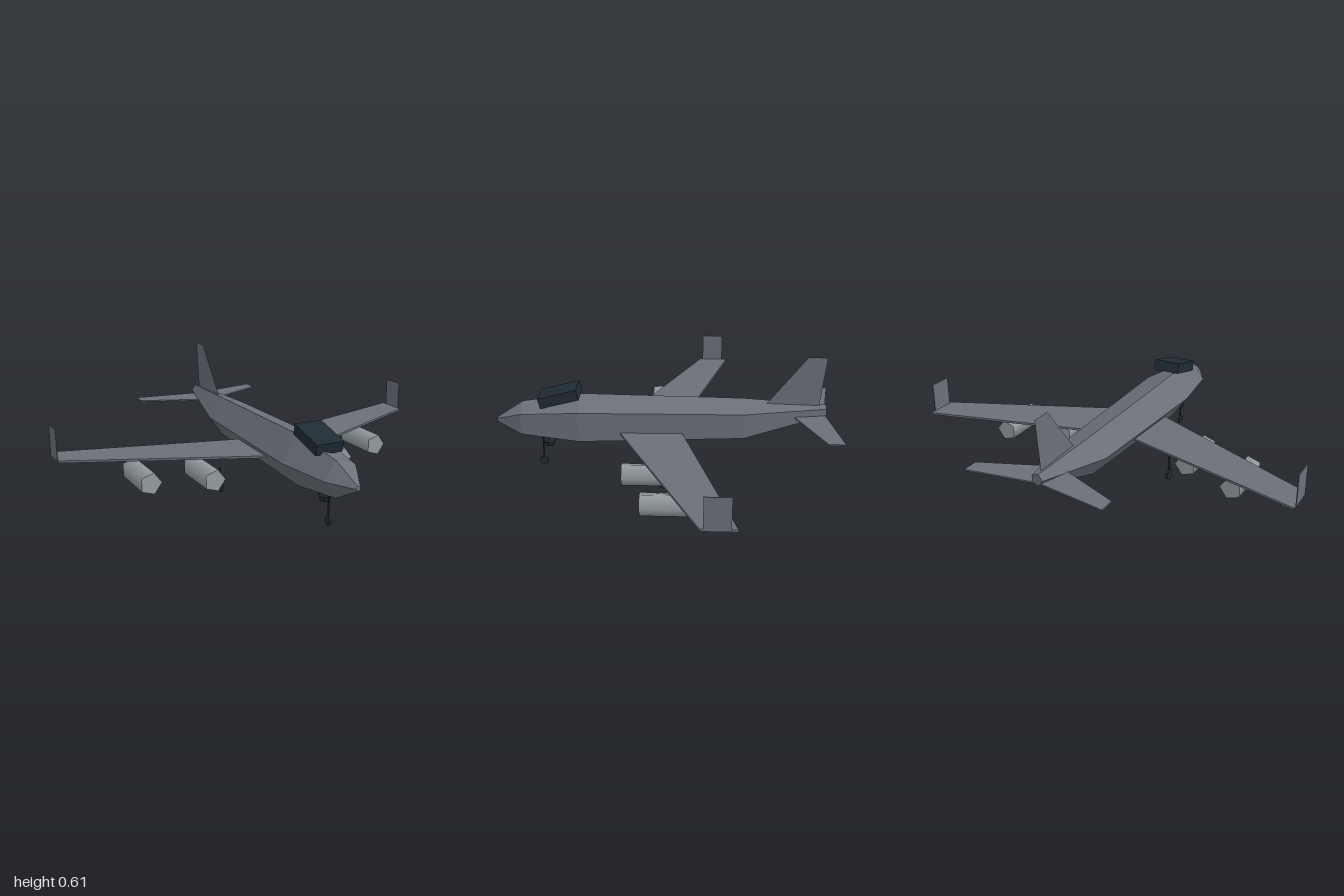
import * as THREE from 'three';

const hull = new THREE.MeshStandardMaterial({ name: 'hullGrey', color: 0x6b7079, flatShading: true, side: THREE.DoubleSide });
const metal = new THREE.MeshStandardMaterial({ name: 'engineGrey', color: 0x949ca0 });
const dark = new THREE.MeshStandardMaterial({ name: 'darkSlate', color: 0x1f2c34, flatShading: true });

// Five-sided tube through stations [z, centre height, radius], one edge pointing to -x
function hullGeometry(stations, sides = 5) {
  const pos = [], idx = [];
  for (const [z, cy, r] of stations)
    for (let k = 0; k < sides; k++) {
      const a = Math.PI + (k / sides) * Math.PI * 2;
      pos.push(r * Math.cos(a), cy + r * Math.sin(a), z);
    }
  for (let s = 0; s < stations.length - 1; s++)
    for (let k = 0; k < sides; k++) {
      const a = s * sides + k, b = s * sides + (k + 1) % sides;
      idx.push(a, b + sides, b, a, a + sides, b + sides);
    }
  const last = (stations.length - 1) * sides;
  for (let k = 1; k < sides - 1; k++) idx.push(0, k, k + 1, last, last + k + 1, last + k);
  const g = new THREE.BufferGeometry();
  g.setAttribute('position', new THREE.Float32BufferAttribute(pos, 3));
  g.setIndex(idx);
  const flat = g.toNonIndexed();
  flat.computeVertexNormals();
  return flat;
}

// Swept plate symmetric in x: leading and trailing z at the root and at the tip
function sweptPlate(span, rootLead, tipLead, tipTrail, rootTrail, y, thick) {
  const shape = new THREE.Shape([
    [0, rootTrail], [span, tipTrail], [span, tipLead], [0, rootLead], [-span, tipLead], [-span, tipTrail],
  ].map(([x, z]) => new THREE.Vector2(x, -z)));
  return new THREE.ExtrudeGeometry(shape, { depth: thick, bevelEnabled: false })
    .rotateX(-Math.PI / 2).translate(0, y - thick / 2, 0);
}

export function createModel() {
  const model = new THREE.Group();
  model.name = 'airplane';
  const add = (name, geometry, material, x = 0, y = 0, z = 0) => {
    const mesh = new THREE.Mesh(geometry, material);
    mesh.name = name;
    mesh.position.set(x, y, z);
    model.add(mesh);
    return mesh;
  };

  // Body
  add('fuselage', hullGeometry([
    [0.855, 0.252, 0.013], [0.725, 0.257, 0.091], [0.43, 0.259, 0.131],
    [-0.395, 0.27, 0.109], [-0.805, 0.327, 0.03],
  ]), hull);
  add('cockpit', new THREE.BoxGeometry(0.14, 0.054, 0.2), dark, 0, 0.392, 0.531).rotation.x = 0.25;

  // Flying surfaces
  add('wings', sweptPlate(0.998, 0.265, -0.177, -0.335, -0.063, 0.225, 0.011), hull);
  add('tailplane', sweptPlate(0.355, -0.626, -0.775, -0.855, -0.797, 0.305, 0.007), hull);
  const fin = new THREE.Shape([[-0.505, 0.355], [-0.77, 0.35], [-0.797, 0.607], [-0.702, 0.607]]
    .map(([z, y]) => new THREE.Vector2(z, y)));
  add('tailFin', new THREE.ShapeGeometry(fin).rotateY(-Math.PI / 2), hull);

  // Engines: pentagonal pods, all turned the same way
  const engine = new THREE.CylinderGeometry(0.056, 0.056, 0.256, 5)
    .rotateY(Math.PI / 2 - Math.PI * 2).rotateX(Math.PI / 2);
  engine.computeBoundingBox();
  if (engine.boundingBox.max.x < 0.05) engine.rotateZ(Math.PI);

  // Mirrored parts
  const wheel = (r) => new THREE.CylinderGeometry(r, r, 0.012, 6, 1, false, Math.PI / 6).rotateZ(Math.PI / 2);
  const strut = (h) => new THREE.CylinderGeometry(0.004, 0.004, h, 6);
  for (const [side, s] of [['left', 1], ['right', -1]]) {
    add(side + 'Winglet', new THREE.BoxGeometry(0.004, 0.157, 0.116), hull, s * 0.998, 0.3, -0.249);
    add(side + 'InnerEngine', engine, metal, s * 0.358, 0.138, 0.065);
    add(side + 'OuterEngine', engine, metal, s * 0.64, 0.138, -0.038);
    add(side + 'MainStrut', strut(0.1), dark, s * 0.24, 0.081, 0);
    add(side + 'MainWheel', wheel(0.03), dark, s * 0.24, 0.03, 0);
  }

  // Nose gear and sensor ball under the chin
  add('noseStrut', strut(0.13), dark, 0, 0.09, 0.628);
  add('noseWheel', wheel(0.023), dark, 0, 0.023, 0.628);
  add('sensorBall', new THREE.SphereGeometry(0.034, 6, 4), dark, 0, 0.137, 0.595);

  return model;
}
